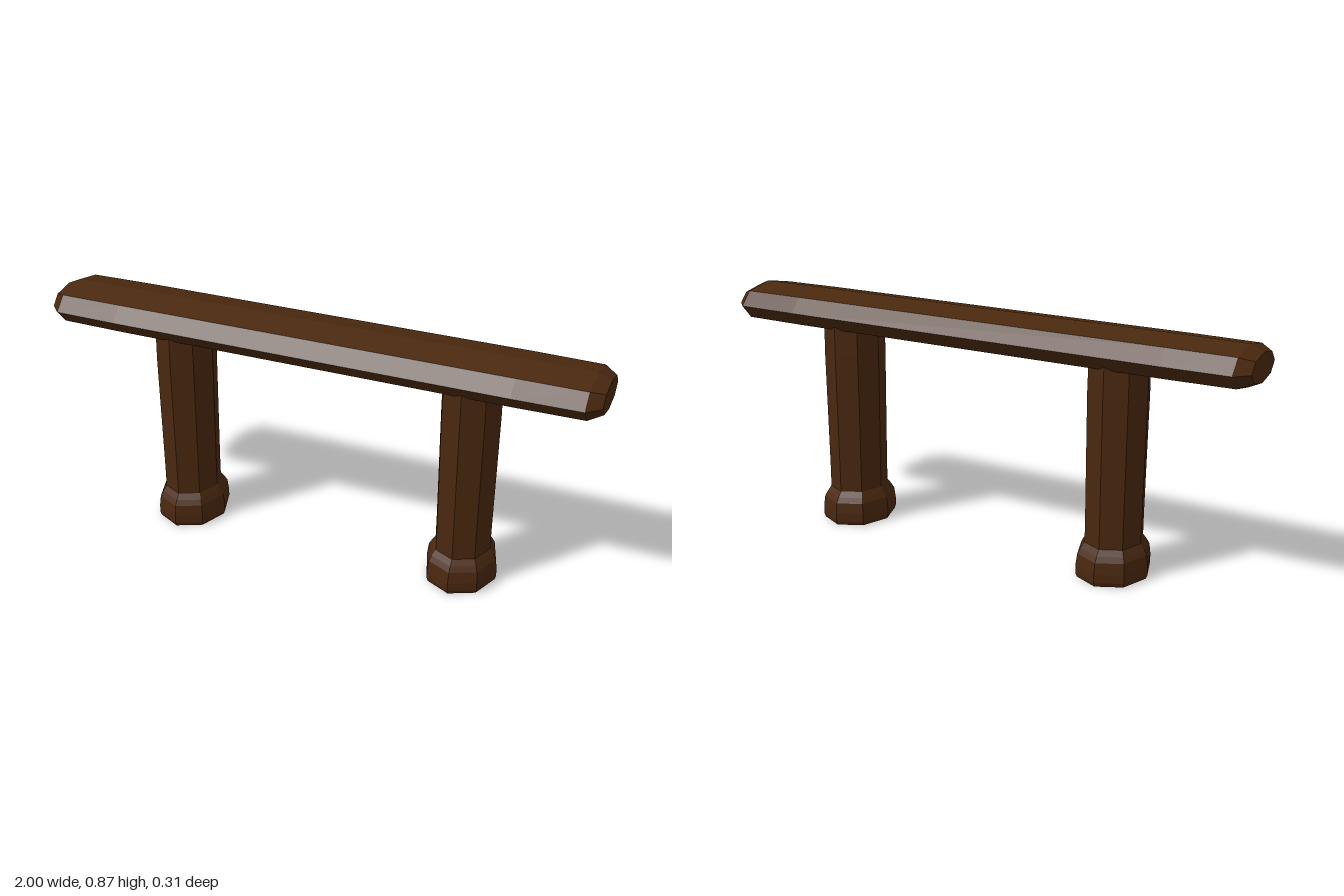
import * as THREE from 'three';

const wood = new THREE.MeshStandardMaterial({ color: 0x4a280f, flatShading: true });

// Eight-sided timber: profile of [radius, height], squashed to an oval section
function timber(name, profile, xScale, zScale) {
  const points = profile.map(([r, h]) => new THREE.Vector2(r, h));
  const geometry = new THREE.LatheGeometry(points, 8);
  geometry.scale(xScale, 1, zScale);
  const mesh = new THREE.Mesh(geometry, wood);
  mesh.name = name;
  return mesh;
}

export function createModel() {
  const group = new THREE.Group();
  group.name = 'bench';

  // Seat beam with chamfered ends, laid along x
  const half = [[1, 0.72], [0.975, 0.955], [0.69, 1], [0, 1]];
  const beamProfile = [...half.map(([r, h]) => [r, -h]).reverse(), ...half];
  const seat = timber('seatBeam', beamProfile, 0.072, 0.156);
  seat.geometry.rotateZ(-Math.PI / 2);
  seat.position.y = 0.794;
  group.add(seat);

  // Two posts, each flaring out into a rounded foot
  const legProfile = [
    [0, 0], [0.147, 0], [0.153, 0.015], [0.153, 0.045], [0.147, 0.085],
    [0.135, 0.104], [0.119, 0.124], [0.119, 0.2], [0.124, 0.65], [0.122, 0.77], [0, 0.77],
  ];
  for (const [name, x] of [['rightLeg', -0.518], ['leftLeg', 0.553]]) {
    const leg = timber(name, legProfile, 0.84, 1);
    leg.position.x = x;
    group.add(leg);
  }
  return group;
}
